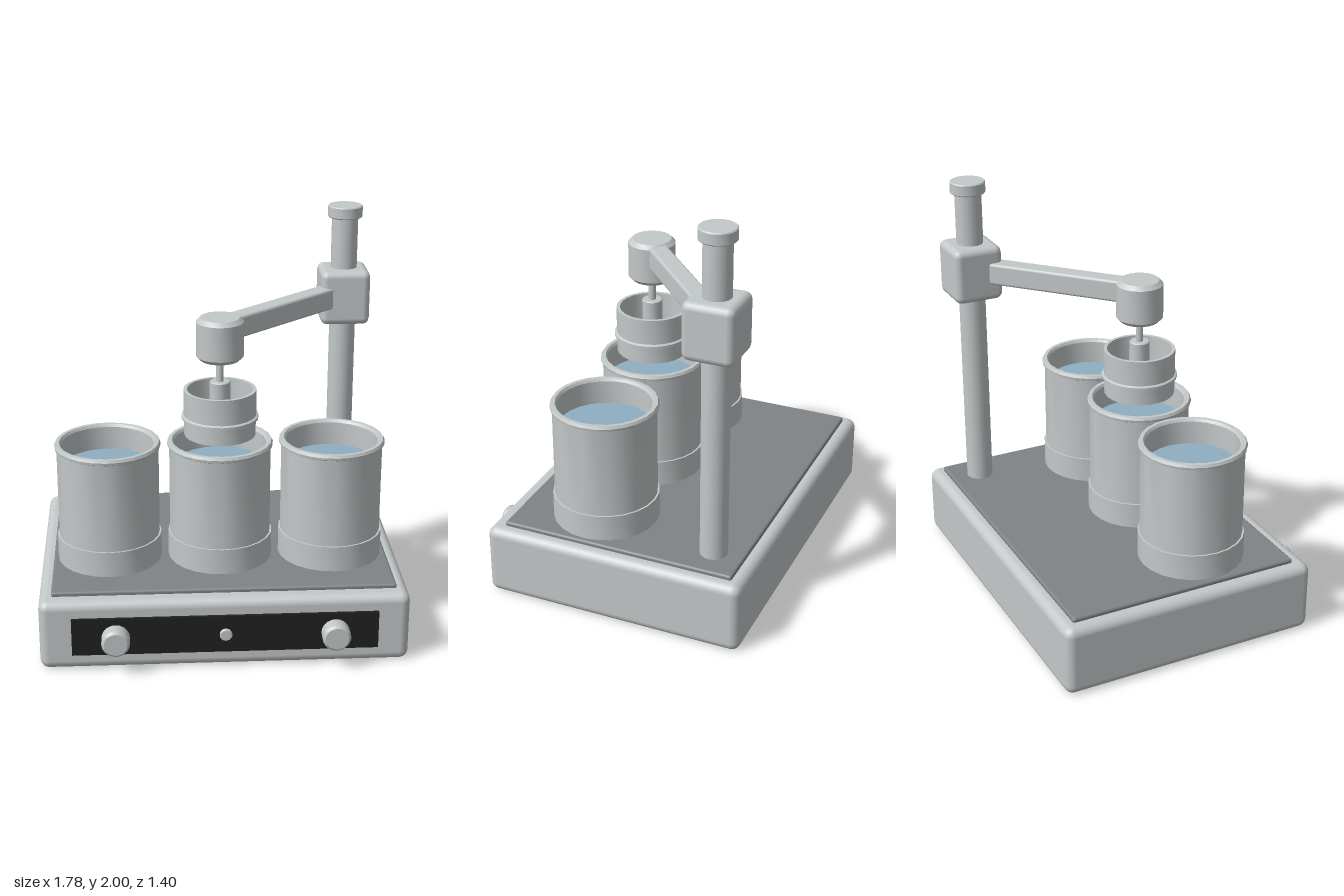
import * as THREE from 'three';
import { RoundedBoxGeometry } from 'three/addons/geometries/RoundedBoxGeometry.js';
import { toCreasedNormals } from 'three/addons/utils/BufferGeometryUtils.js';

const mat = (name, color, side = THREE.FrontSide) => {
  const m = new THREE.MeshStandardMaterial({ color, side });
  m.name = name;
  return m;
};

export function createModel() {
  const steel = mat('light grey steel', 0xc3c8c8, THREE.DoubleSide);
  const deckGrey = mat('deck grey', 0x808387);
  const black = mat('panel black', 0x202020);
  const water = mat('water blue', 0x8eafc2);

  const model = new THREE.Group();
  model.name = 'beakerStation';

  const add = (name, geometry, material, x, y, z, parent = model) => {
    const mesh = new THREE.Mesh(geometry, material);
    mesh.name = name;
    mesh.position.set(x, y, z);
    parent.add(mesh);
    return mesh;
  };
  // Turned part from [radius, y] pairs, outer wall listed bottom to top
  const turned = (points, sides = 24) => toCreasedNormals(
    new THREE.LatheGeometry(points.map(([r, y]) => new THREE.Vector2(r, y)), sides), 0.6);
  // Solid turned cylinder with chamfered ends
  const drum = (r, y0, y1, c, sides = 24) => turned(
    [[0, y0], [r - c, y0], [r, y0 + c], [r, y1 - c], [r - c, y1], [0, y1]], sides);

  // Base and deck
  add('base', new RoundedBoxGeometry(1.78, 0.355, 1.305, 3, 0.045), steel, 0, 0.1775, -0.0475);
  add('deck', new RoundedBoxGeometry(1.66, 0.03, 1.17, 2, 0.012), deckGrey, 0, 0.361, -0.055);

  // Control panel with knobs and indicator
  add('controlPanel', new THREE.BoxGeometry(1.47, 0.19, 0.02), black, 0, 0.18, 0.61);
  for (const x of [-0.525, 0.525]) {
    add('knob', drum(0.068, 0, 0.085, 0.012, 20), steel, x, 0.18, 0.617).rotation.x = Math.PI / 2;
  }
  add('indicator', drum(0.031, 0, 0.02, 0.004, 10), steel, 0, 0.18, 0.617).rotation.x = Math.PI / 2;

  // Three open beakers with collar, rolled rim and water
  const beakerZ = 0.12;
  for (const x of [-0.55, 0, 0.55]) {
    const beaker = new THREE.Group();
    beaker.name = 'beaker';
    beaker.position.set(x, 0, beakerZ);
    model.add(beaker);
    add('beakerBody', turned([
      [0, 0.376], [0.258, 0.376], [0.258, 0.505], [0.249, 0.505], [0.249, 0.955],
      [0.258, 0.96], [0.26, 0.972], [0.253, 0.985], [0.235, 0.985], [0.226, 0.972],
      [0.226, 0.8],
    ]), steel, 0, 0, 0, beaker);
    add('water', new THREE.CircleGeometry(0.227, 24), water, 0, 0.855, 0, beaker)
      .rotation.x = -Math.PI / 2;
  }

  // Upright post with cap and sliding clamp
  const postX = 0.67, postZ = -0.49;
  add('post', new THREE.CylinderGeometry(0.067, 0.067, 1.58, 24), steel, postX, 1.16, postZ);
  add('postCap', drum(0.088, 1.94, 2, 0.005), steel, postX, 0, postZ);
  add('clamp', new RoundedBoxGeometry(0.25, 0.28, 0.25, 2, 0.035), steel, postX, 1.54, postZ);

  // Diagonal arm from clamp to head
  const dx = postX, dz = postZ - beakerZ;
  const arm = add('arm', new RoundedBoxGeometry(Math.hypot(dx, dz), 0.11, 0.095, 2, 0.014), steel,
    dx / 2, 1.542, beakerZ + dz / 2);
  arm.rotation.y = Math.atan2(-dz, dx);

  // Head, spindle and hub
  add('head', drum(0.115, 1.395, 1.605, 0.02), steel, 0, 0, beakerZ);
  add('spindle', new THREE.CylinderGeometry(0.018, 0.018, 0.3, 12), steel, 0, 1.26, beakerZ);
  add('hub', drum(0.05, 1.1, 1.285, 0.004, 12), steel, 0, 0, beakerZ);

  // Open sieve basket with a raised ring and a floor
  add('basket', turned([
    [0.16, 1.1], [0.16, 1.015], [0.175, 1.015], [0.175, 1.095], [0.188, 1.1],
    [0.188, 1.112], [0.177, 1.118], [0.177, 1.245], [0.16, 1.245], [0.16, 1.1],
  ]), steel, 0, 0, beakerZ);
  add('basketFloor', new THREE.CylinderGeometry(0.162, 0.162, 0.012, 24), steel, 0, 1.1, beakerZ);

  return model;
}
